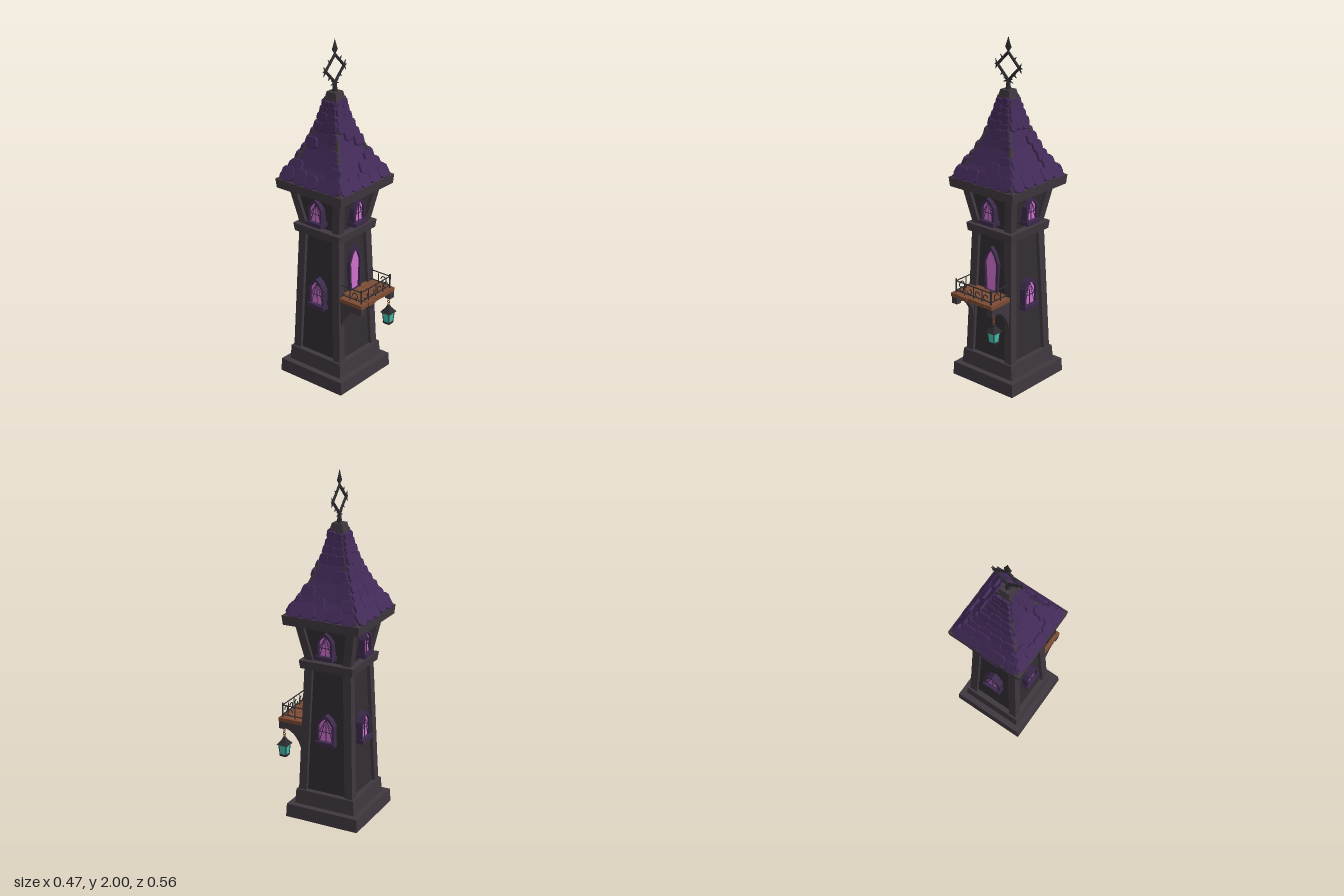
import * as THREE from 'three';

const mat = (name, color) => {
  const m = new THREE.MeshStandardMaterial({ color });
  m.name = name;
  return m;
};
const M = {
  stone: mat('stone trim', 0x3f383f),
  wall: mat('dark wall', 0x322d32),
  roof: mat('purple shingle', 0x432b59),
  frame: mat('window frame purple', 0x3d2a4c),
  glass: mat('pink glass', 0xd070cc),
  metal: mat('black iron', 0x2e2c30),
  wood: mat('wood', 0x7d4b33),
  teal: mat('lantern glow', 0x3fc0ae),
};

// small seeded random
let seed = 7;
const rnd = () => (seed = (seed * 16807) % 2147483647) / 2147483647;

function add(parent, name, geo, material, x = 0, y = 0, z = 0) {
  const m = new THREE.Mesh(geo, material);
  m.name = name;
  m.position.set(x, y, z);
  parent.add(m);
  return m;
}

// box whose bottom and top rectangles are [cx, cz, halfX, halfZ]
function hull(y0, y1, b, t) {
  const g = new THREE.BoxGeometry(2, 1, 2), p = g.attributes.position;
  for (let i = 0; i < p.count; i++) {
    const up = p.getY(i) > 0, r = up ? t : b;
    p.setXYZ(i, r[0] + p.getX(i) * r[2], up ? y1 : y0, r[1] + p.getZ(i) * r[3]);
  }
  g.computeVertexNormals();
  return g;
}
const block = (y0, y1, a, b = a) => hull(y0, y1, [0, 0, a, a], [0, 0, b, b]);
const box = (x0, x1, y0, y1, z0, z1) =>
  new THREE.BoxGeometry(x1 - x0, y1 - y0, z1 - z0).translate((x0 + x1) / 2, (y0 + y1) / 2, (z0 + z1) / 2);

// straight bar between two points
function bar(parent, name, a, b, r, material, sides = 6, r2 = r) {
  const A = new THREE.Vector3(...a), d = new THREE.Vector3(...b).sub(A);
  const m = add(parent, name, new THREE.CylinderGeometry(r2, r, d.length(), sides), material);
  m.position.copy(A).addScaledVector(d, 0.5);
  m.quaternion.setFromUnitVectors(new THREE.Vector3(0, 1, 0), d.normalize());
  return m;
}

// pointed arch outline
const arch = (w, h, sh, wb = w, y = 0) =>
  [[-wb, y], [wb, y], [w, sh], [w * 0.55, sh + (h - sh) * 0.62], [0, h], [-w * 0.55, sh + (h - sh) * 0.62], [-w, sh]]
    .map(p => new THREE.Vector2(...p));

// framed window facing +z, its front at depth z
function windowPart(name, w, h, z, depth, lattice, wb = w) {
  const g = new THREE.Group();
  g.name = name;
  const t = 0.013, sh = h * 0.66;
  const shape = new THREE.Shape(arch(w, h, sh, wb));
  shape.holes.push(new THREE.Path(arch(w - t, h - t * 1.6, sh - 0.003, wb - t, t).reverse()));
  add(g, 'frame', new THREE.ExtrudeGeometry(shape, { depth, bevelEnabled: false }), M.frame, 0, 0, z - depth);
  add(g, 'glass', new THREE.ShapeGeometry(new THREE.Shape(arch(w - t / 2, h - t, sh, wb - t / 2, t / 2))), M.glass, 0, 0, z - 0.014);
  if (lattice) {
    const zb = z - 0.011, top = h - t * 1.5;
    bar(g, 'mullion', [0, t, zb], [0, top, zb], 0.003, M.frame, 4);
    bar(g, 'crossbar', [-w + t, sh * 0.62, zb], [w - t, sh * 0.62, zb], 0.003, M.frame, 4);
    for (const s of [-1, 1]) {
      bar(g, 'slantBar', [s * (w - t), t, zb], [s * w * 0.2, sh, zb], 0.0025, M.frame, 4);
      bar(g, 'archBar', [s * (w - t), sh * 0.62, zb], [0, top - 0.01, zb], 0.0025, M.frame, 4);
    }
    add(g, 'sill', box(-w - 0.005, w + 0.005, -0.008, 0.016, z - depth, z + 0.01), M.frame);
  }
  return g;
}

// roof half width by height
const PROFILE = [[1.21, 0.222], [1.3, 0.163], [1.4, 0.115], [1.5, 0.077], [1.6, 0.048], [1.68, 0.034]];
function roofHalf(y) {
  let i = 0;
  while (i < PROFILE.length - 2 && y > PROFILE[i + 1][0]) i++;
  const [a, b] = [PROFILE[i], PROFILE[i + 1]];
  return a[1] + (b[1] - a[1]) * (y - a[0]) / (b[0] - a[0]);
}

function shingle(w, l) {
  const j = () => (rnd() - 0.5) * 0.1;
  const pts = [[-0.5, 0.25 + j()], [-0.3, 0.04], [0, j() * 0.4], [0.3, 0.04], [0.5, 0.25 + j()], [0.48, 0.85], [0.3, 1], [-0.3, 1], [-0.48, 0.85]];
  const s = new THREE.Shape(pts.map(p => new THREE.Vector2(p[0] * w, p[1] * l)));
  return new THREE.ExtrudeGeometry(s, { depth: 0.009, bevelThickness: 0.004, bevelSize: 0.003, bevelSegments: 1 });
}

function buildRoof() {
  const g = new THREE.Group();
  g.name = 'roof';
  for (let i = 0; i < PROFILE.length - 1; i++) {
    const [y0, a] = PROFILE[i], [y1, b] = PROFILE[i + 1];
    add(g, 'roofSlope', block(y0, y1, a, b), M.roof);
    for (const sx of [-1, 1]) for (const sz of [-1, 1]) {
      const e = 0.002, r = 0.009;
      add(g, 'ridge', hull(y0, y1, [sx * (a - e), sz * (a - e), r, r], [sx * (b - e), sz * (b - e), r, r]), M.stone);
    }
  }
  // shingle rows on the four slopes
  const rows = [[1.212, 5, 0.075], [1.262, 4, 0.07], [1.312, 4, 0.062], [1.36, 4, 0.055], [1.405, 3, 0.055],
    [1.45, 3, 0.052], [1.495, 3, 0.05], [1.54, 2, 0.048], [1.58, 2, 0.045], [1.62, 2, 0.04]];
  for (let k = 0; k < 4; k++) {
    const side = new THREE.Group();
    side.name = 'shingleSide';
    side.rotation.y = k * Math.PI / 2;
    g.add(side);
    rows.forEach(([y, n, l], r) => {
      const h = roofHalf(y), w = 2 * h * 0.97 / n;
      for (let i = 0; i < n; i++) {
        const keep = rnd();
        if (k !== 2 && r > 0 && y < 1.47 && keep > (i === n - 1 ? 0.85 : 0.28)) continue;
        const slope = (h - roofHalf(y + l * 0.7)) / (l * 0.7);
        const s = add(side, 'shingle', shingle(w * (0.9 + rnd() * 0.1), l * (0.95 + rnd() * 0.2)), M.roof,
          (i - (n - 1) / 2) * w * 0.95, y + (rnd() - 0.5) * 0.012, h + (k === 2 ? 0.006 : 0.001));
        s.rotation.set(-Math.atan(slope) + 0.06, 0, (rnd() - 0.5) * 0.12);
      }
    });
  }
  add(g, 'roofCap', block(1.66, 1.71, 0.042, 0.031), M.stone);
  return g;
}

function buildFinial() {
  const g = new THREE.Group();
  g.name = 'finial';
  const cy = 1.836, R = 0.077;
  const spear = new THREE.LatheGeometry([[0, 0], [0.007, 0.005], [0.007, 0.02], [0.022, 0.04], [0.012, 0.065], [0, 0.1]]
    .map(p => new THREE.Vector2(...p)), 8).scale(1, 1, 0.5);
  add(g, 'spearTip', spear, M.metal, 0, 1.9, 0);
  bar(g, 'stem', [0, 1.7, 0], [0, cy - R + 0.005, 0], 0.016, M.metal, 8, 0.009);
  const corners = [[0, R], [R, 0], [0, -R], [-R, 0]];
  corners.forEach(([x, y], i) => {
    const [x2, y2] = corners[(i + 1) % 4];
    bar(g, 'diamondBar', [x, cy + y, 0], [x2, cy + y2, 0], 0.008, M.metal);
    const mx = (x + x2) / 2, my = (y + y2) / 2;
    bar(g, 'thorn', [mx, cy + my, 0], [mx * 1.5, cy + my * 1.5, 0], 0.007, M.metal, 5, 0.001);
  });
  for (const s of [-1, 1]) {
    bar(g, 'sideSpike', [s * R, cy, 0], [s * 0.1, cy, 0], 0.009, M.metal, 5, 0.001);
    for (const v of [-1, 1]) {
      bar(g, 'hook', [s * R, cy, 0], [s * 0.093, cy + v * 0.028, 0], 0.008, M.metal, 5, 0.001);
      bar(g, 'lowerHook', [0, cy - R, 0], [s * 0.035, cy - R + v * 0.012, 0], 0.008, M.metal, 5, 0.001);
    }
  }
  return g;
}

function buildBalcony() {
  const g = new THREE.Group();
  g.name = 'balcony';
  [[-0.152, -0.095, 0.28], [-0.09, -0.032, 0.284], [-0.03, 0.034, 0.277], [0.036, 0.095, 0.279], [0.097, 0.15, 0.277]]
    .forEach(([a, b, z]) => add(g, 'plank', box(a, b, 0.548, 0.57, 0.09, z), M.wood));
  // curved brackets
  const s = new THREE.Shape();
  s.moveTo(0.09, 0.548);
  s.lineTo(0.27, 0.548);
  s.lineTo(0.27, 0.515);
  s.quadraticCurveTo(0.16, 0.515, 0.13, 0.39);
  s.lineTo(0.09, 0.39);
  for (const sx of [-1, 1]) {
    const m = add(g, 'bracket', new THREE.ExtrudeGeometry(s, { depth: 0.03, bevelEnabled: false, curveSegments: 8 }), M.stone, sx * 0.132 + 0.015);
    m.rotation.y = -Math.PI / 2;
    add(g, 'bracketEnd', box(sx * 0.132 - 0.019, sx * 0.132 + 0.019, 0.505, 0.548, 0.24, 0.274), M.stone);
    // side rails
    for (const y of [0.585, 0.642]) bar(g, 'sideRail', [sx * 0.13, y, 0.1], [sx * 0.13, y, 0.26], 0.0035, M.metal);
    bar(g, 'sidePost', [sx * 0.13, 0.565, 0.18], [sx * 0.13, 0.642, 0.18], 0.003, M.metal);
    bar(g, 'cornerPost', [sx * 0.13, 0.565, 0.26], [sx * 0.13, 0.655, 0.26], 0.005, M.metal);
    const c = add(g, 'sideScroll', new THREE.TorusGeometry(0.018, 0.003, 5, 12, 4.5), M.metal, sx * 0.13, 0.606, 0.215);
    c.rotation.y = Math.PI / 2;
  }
  for (const y of [0.585, 0.642]) bar(g, 'frontRail', [-0.13, y, 0.26], [0.13, y, 0.26], 0.0035, M.metal);
  for (const x of [-0.065, 0, 0.065]) bar(g, 'frontPost', [x, 0.565, 0.26], [x, 0.642, 0.26], 0.003, M.metal);
  for (const x of [-0.09, -0.03, 0.03, 0.09])
    add(g, 'frontScroll', new THREE.TorusGeometry(0.016, 0.003, 5, 12, 4.5), M.metal, x, 0.604, 0.26).rotation.z = x > 0 ? 0 : Math.PI;
  return g;
}

function buildLantern() {
  const g = new THREE.Group();
  g.name = 'lantern';
  g.position.set(0.138, 0, 0.247);
  for (let i = 0; i < 4; i++)
    add(g, 'chainLink', new THREE.TorusGeometry(0.008, 0.0025, 5, 8), M.wood, 0, 0.458 + i * 0.014, 0).rotation.y = i % 2 * Math.PI / 2;
  add(g, 'lanternKnob', block(0.435, 0.452, 0.012, 0.006), M.metal);
  add(g, 'lanternRoof', block(0.407, 0.437, 0.034, 0.012), M.metal);
  add(g, 'lanternGlow', block(0.347, 0.408, 0.019, 0.025), M.teal);
  add(g, 'lanternBase', block(0.335, 0.348, 0.02, 0.023), M.metal);
  for (const x of [-1, 1]) for (const z of [-1, 1])
    bar(g, 'lanternPost', [x * 0.019, 0.345, z * 0.019], [x * 0.025, 0.41, z * 0.025], 0.003, M.metal, 4);
  return g;
}

export function createModel() {
  const model = new THREE.Group();
  model.name = 'tower';
  const core = new THREE.Group();
  core.name = 'towerCore';
  core.position.z = -0.033;
  model.add(core, buildBalcony(), buildLantern());

  add(core, 'footing', block(0, 0.078, 0.226, 0.222), M.stone);
  add(core, 'plinth', block(0.078, 0.165, 0.187, 0.181), M.stone);
  add(core, 'lowerWall', block(0.165, 0.91, 0.15, 0.122), M.wall);
  add(core, 'beltCourse', block(0.9, 0.948, 0.16, 0.166), M.stone);
  add(core, 'upperWall', block(0.94, 1.17, 0.122, 0.162), M.wall);
  add(core, 'eaves', block(1.163, 1.217, 0.228, 0.233), M.stone);

  // corner pillars of both storeys
  for (const sx of [-1, 1]) for (const sz of [-1, 1]) {
    const r = 0.024, p = c => [sx * (c - r), sz * (c - r), r, r];
    add(core, 'lowerPillar', hull(0.16, 0.905, p(0.17), p(0.143)), M.stone);
    add(core, 'upperPillar', hull(0.945, 1.168, p(0.14), p(0.182)), M.stone);
  }

  // windows on every side, door on the front
  for (let k = 0; k < 4; k++) {
    const side = new THREE.Group();
    side.name = 'windowSide';
    side.rotation.y = k * Math.PI / 2;
    const upper = windowPart('upperWindow', 0.048, 0.15, 0.178, 0.06, true);
    upper.position.y = 0.982;
    const lower = k === 0 ? windowPart('door', 0.055, 0.28, 0.15, 0.035, false, 0.047)
      : windowPart('lowerWindow', 0.054, 0.175, 0.172, 0.05, true);
    lower.position.y = k === 0 ? 0.558 : 0.473;
    side.add(upper, lower);
    core.add(side);
  }
  core.add(buildRoof(), buildFinial());
  return model;
}
